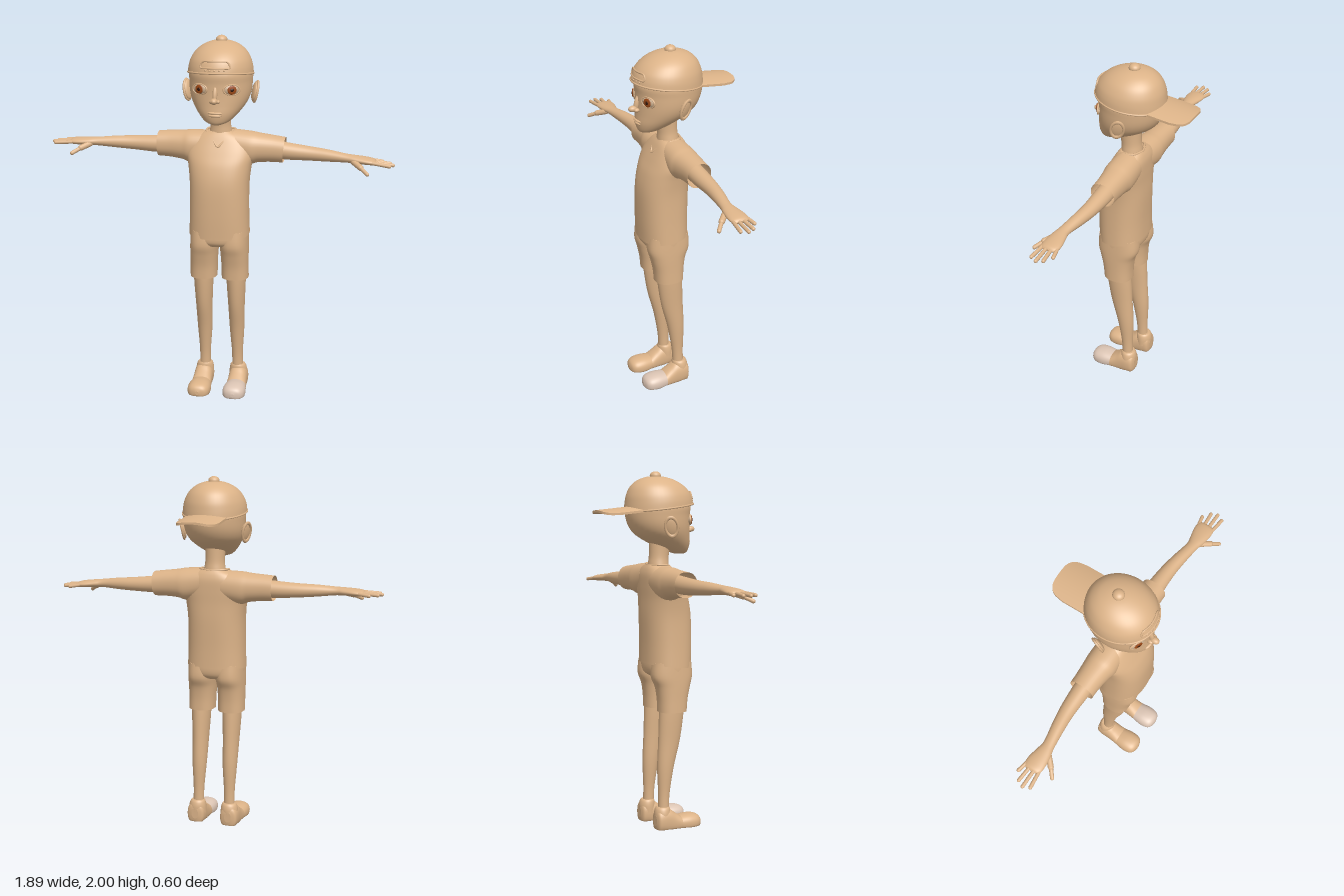
import * as THREE from 'three';

const mat = (name, color) => new THREE.MeshStandardMaterial({ name, color, side: THREE.DoubleSide });

// Smooth value of component k at position f along the sections (Catmull-Rom)
function spline(sec, k, f) {
  const n = sec.length - 1, i = Math.min(Math.floor(f), n - 1), u = f - i;
  const at = (j) => sec[Math.max(0, Math.min(n, j))][k];
  const a = at(i), b = at(i + 1), m = (b - at(i - 1)) / 2, q = (at(i + 2) - a) / 2;
  const u2 = u * u, u3 = u2 * u;
  return (2 * u3 - 3 * u2 + 1) * a + (u3 - 2 * u2 + u) * m + (3 * u2 - 2 * u3) * b + (u3 - u2) * q;
}

// Loft of superellipse sections [position along axis, centre 1, centre 2, radius 1, radius 2]
function loft(axis, sec, { exp = 2, caps = [true, true], warp = null, seg = 36, sub = 5 } = {}) {
  const order = { x: [0, 1, 2], y: [1, 0, 2], z: [2, 0, 1] }[axis];
  const flip = (axis !== 'y') !== (sec[sec.length - 1][0] < sec[0][0]);
  const rows = (sec.length - 1) * sub, pos = [], idx = [];
  const put = (t, a, b) => {
    const p = [];
    p[order[0]] = t; p[order[1]] = a; p[order[2]] = b;
    const v = new THREE.Vector3(...p);
    if (warp) warp(v);
    pos.push(v.x, v.y, v.z);
  };
  const tri = (a, b, c) => (flip ? idx.push(a, c, b) : idx.push(a, b, c));
  const ring = (i) => {
    const [t, c1, c2, r1, r2] = [0, 1, 2, 3, 4].map((k) => spline(sec, k, i / sub));
    for (let j = 0; j < seg; j++) {
      const a = (j / seg) * Math.PI * 2, c = Math.cos(a), s = Math.sin(a);
      put(t, c1 + r1 * Math.sign(c) * Math.abs(c) ** (2 / exp), c2 + r2 * Math.sign(s) * Math.abs(s) ** (2 / exp));
    }
    return [t, c1, c2];
  };
  for (let i = 0; i <= rows; i++) ring(i);
  for (let i = 0; i < rows; i++) for (let j = 0; j < seg; j++) {
    const a = i * seg + j, b = i * seg + (j + 1) % seg;
    tri(a, a + seg, b);
    tri(b, a + seg, b + seg);
  }
  [0, rows].forEach((row, e) => {
    if (!caps[e]) return;
    const base = pos.length / 3;
    put(...ring(row));
    for (let j = 0; j < seg; j++) {
      const a = base + j, b = base + (j + 1) % seg;
      e ? tri(base + seg, b, a) : tri(base + seg, a, b);
    }
  });
  const g = new THREE.BufferGeometry();
  g.setAttribute('position', new THREE.Float32BufferAttribute(pos, 3));
  g.setIndex(idx);
  g.computeVertexNormals();
  return g;
}

export function createModel() {
  const model = new THREE.Group();
  const tan = mat('tan', 0xdcb388), pale = mat('paleShoe', 0xdcc5b4);
  const brown = mat('irisBrown', 0x9c4a18), dark = mat('pupilDark', 0x35190c), white = mat('eyeBeige', 0xcdb090);
  const add = (name, geo, material = tan, parent = model) => {
    const m = new THREE.Mesh(geo, material);
    m.name = name;
    parent.add(m);
    return m;
  };
  const ball = (name, p, r, material = tan, parent = model) => {
    const m = add(name, new THREE.SphereGeometry(1, 24, 16), material, parent);
    m.position.set(...p);
    m.scale.set(...r);
    return m;
  };
  const tube = (name, pts, r, closed, parent = model, tension = 0.5) => add(name, new THREE.TubeGeometry(
    new THREE.CatmullRomCurve3(pts.map((p) => new THREE.Vector3(...p)), closed, 'catmullrom', tension), 64, r, 8, closed), tan, parent);

  // Head and neck
  add('head', loft('y', [
    [1.545, 0, 0.2, 0.025, 0.03], [1.56, 0, 0.182, 0.065, 0.06], [1.6, 0, 0.14, 0.108, 0.11], [1.65, 0, 0.095, 0.145, 0.152],
    [1.7, 0, 0.073, 0.164, 0.172], [1.76, 0, 0.063, 0.17, 0.182], [1.82, 0, 0.063, 0.168, 0.182],
    [1.89, 0, 0.06, 0.13, 0.14], [1.94, 0, 0.06, 0.05, 0.05]]));
  add('neck', loft('y', [[1.42, 0, 0.065, 0.075, 0.065], [1.49, 0, 0.068, 0.06, 0.058], [1.54, 0, 0.072, 0.054, 0.056],
    [1.63, 0, 0.08, 0.058, 0.065]]));

  // Face
  ball('noseBridge', [0, 1.712, 0.245], [0.013, 0.045, 0.017]).rotation.x = -0.25;
  ball('noseTip', [0, 1.68, 0.27], [0.019, 0.017, 0.026]);
  for (const s of [-1, 1]) ball('nostril', [s * 0.016, 1.675, 0.255], [0.013, 0.011, 0.016]);
  ball('upperLip', [0, 1.613, 0.243], [0.042, 0.007, 0.016]);
  ball('lowerLip', [0, 1.598, 0.241], [0.036, 0.009, 0.016]);
  for (const s of [-1, 1]) {
    const eye = new THREE.Group();
    eye.name = 'eye';
    eye.position.set(s * 0.083, 1.735, 0.217);
    eye.rotation.y = s * 0.42;
    model.add(eye);
    ball('eyeball', [0, 0, 0], [0.044, 0.027, 0.015], white, eye);
    ball('iris', [0, 0, 0.012], [0.024, 0.024, 0.005], brown, eye);
    ball('pupil', [0, 0, 0.015], [0.01, 0.01, 0.004], dark, eye);
    const lid = add('eyelid', new THREE.TorusGeometry(0.044, 0.005, 8, 32), tan, eye);
    lid.scale.y = 0.64;
    lid.position.z = 0.004;

    // Ear with raised rim
    const ear = new THREE.Group();
    ear.name = 'ear';
    ear.position.set(s * 0.18, 1.703, 0.055);
    ear.rotation.set(-0.2, s * 0.4, -s * 0.15);
    model.add(ear);
    ball('earShell', [0, 0, 0], [0.013, 0.054, 0.036], tan, ear);
    const rim = add('earRim', new THREE.TorusGeometry(0.034, 0.007, 8, 28), tan, ear);
    rim.rotation.y = Math.PI / 2;
    rim.scale.y = 1.55;
    rim.position.x = s * 0.008;
  }

  // Backward cap: dome slanting down to the rear
  const slant = (v) => { v.y += 0.11 * (v.z - 0.07) * THREE.MathUtils.clamp((1.95 - v.y) / 0.15, 0, 1); };
  add('capDome', loft('y', [
    [1.8, 0, 0.07, 0.176, 0.196], [1.84, 0, 0.068, 0.172, 0.19], [1.88, 0, 0.064, 0.16, 0.178], [1.92, 0, 0.058, 0.135, 0.15],
    [1.95, 0, 0.054, 0.097, 0.108], [1.968, 0, 0.05, 0.052, 0.055], [1.974, 0, 0.05, 0.005, 0.005]],
  { caps: [false, true], warp: slant, seg: 48 }));
  const band = [];
  for (let i = 0; i < 24; i++) {
    const a = (i / 24) * Math.PI * 2, v = new THREE.Vector3(0.175 * Math.cos(a), 1.803, 0.07 + 0.195 * Math.sin(a));
    slant(v);
    band.push(v.toArray());
  }
  tube('capBand', band, 0.005, true);
  ball('capButton', [0, 1.975, 0.05], [0.031, 0.024, 0.031]);

  // Arched brim with rounded corners
  const brim = new THREE.BoxGeometry(2, 0.012, 1, 28, 1, 12), bp = brim.attributes.position;
  for (let i = 0; i < bp.count; i++) {
    const u = bp.getX(i), w = 0.5 - bp.getZ(i);
    const z = THREE.MathUtils.lerp(-0.03, -0.305 + 0.095 * (1 - Math.sqrt(1 - Math.min(1, u ** 4))), w);
    bp.setXYZ(i, u * 0.115, bp.getY(i) + 1.803 + 0.09 * (z + 0.11) - 0.02 * u * u, z);
  }
  brim.computeVertexNormals();
  add('capBrim', brim);

  // Strap opening and snaps on the cap's front
  const capFront = (x, y) => [x, y, 0.068 + (0.19 - 0.3 * (y - 1.85)) * Math.sqrt(1 - (x / 0.17) ** 2)];
  tube('strapOpening', [[-0.075, 1.85], [-0.075, 1.868], [-0.06, 1.884], [-0.03, 1.885], [0, 1.885], [0.03, 1.885], [0.06, 1.884],
    [0.075, 1.868], [0.075, 1.85], [0.04, 1.85], [0, 1.85], [-0.04, 1.85]].map((p) => capFront(...p)), 0.005, true);
  for (let i = -2; i <= 2; i++) ball('strapSnap', capFront(i * 0.025, 1.839), [0.005, 0.005, 0.005]);

  // Shirt body, with the hem higher at the back
  add('shirtBody', loft('y', [
    [0.925, 0, 0.11, 0.166, 0.13], [1.05, 0, 0.112, 0.162, 0.132], [1.2, 0, 0.108, 0.162, 0.132], [1.3, 0, 0.098, 0.172, 0.121],
    [1.37, 0, 0.082, 0.185, 0.106], [1.43, 0, 0.067, 0.168, 0.09], [1.465, 0, 0.062, 0.125, 0.076], [1.487, 0, 0.06, 0.075, 0.062]],
  { exp: 2.4, caps: [false, true], seg: 48,
    warp: (v) => { v.y -= 0.11 * (v.z - 0.11) * THREE.MathUtils.clamp((1.1 - v.y) / 0.175, 0, 1); } }));
  tube('vNeckCollar', [[0, 1.413, 0.165], [0.035, 1.45, 0.137], [0.075, 1.485, 0.09], [0.07, 1.49, 0.03], [0, 1.487, 0.003],
    [-0.07, 1.49, 0.03], [-0.075, 1.485, 0.09], [-0.035, 1.45, 0.137]], 0.006, true, model, 0.3);

  // Sleeves, arms and hands; the left arm hangs slightly lower
  for (const s of [-1, 1]) {
    const arm = new THREE.Group();
    arm.name = s > 0 ? 'leftArm' : 'rightArm';
    const pivot = new THREE.Vector3(s * 0.2, 1.4, 0);
    arm.rotation.z = s > 0 ? -0.08 : 0;
    arm.position.copy(pivot).sub(pivot.clone().applyEuler(arm.rotation));
    model.add(arm);
    const along = (sec) => sec.map(([x, ...rest]) => [s * x, ...rest]);
    add('sleeve', loft('x', along([[0.06, 1.4, 0.06, 0.083, 0.082], [0.16, 1.392, 0.06, 0.09, 0.085], [0.21, 1.397, 0.057, 0.08, 0.078],
      [0.28, 1.4, 0.055, 0.073, 0.071], [0.347, 1.4, 0.055, 0.069, 0.069]]), { exp: 2.2, caps: [true, false] }), tan, arm);
    add('forearm', loft('x', along([[0.2, 1.4, 0.055, 0.05, 0.05], [0.35, 1.395, 0.054, 0.047, 0.048], [0.48, 1.397, 0.057, 0.039, 0.041],
      [0.58, 1.4, 0.068, 0.033, 0.036], [0.68, 1.402, 0.083, 0.024, 0.032], [0.73, 1.402, 0.085, 0.022, 0.041],
      [0.79, 1.401, 0.083, 0.02, 0.051], [0.83, 1.4, 0.083, 0.016, 0.047], [0.845, 1.4, 0.083, 0.005, 0.03]])), tan, arm);
    const finger = (name, a, b, r) => {
      const p = new THREE.Vector3(s * a[0], a[1], a[2]), q = new THREE.Vector3(s * b[0], b[1], b[2]), d = q.clone().sub(p);
      const f = add(name, new THREE.CapsuleGeometry(r, d.length(), 6, 12), tan, arm);
      f.position.copy(p).add(q).multiplyScalar(0.5);
      f.quaternion.setFromUnitVectors(new THREE.Vector3(0, 1, 0), d.normalize());
    };
    [[0.044, 0.876, 0.03], [0.07, 0.918, 0.061], [0.096, 0.934, 0.095], [0.12, 0.917, 0.131]].forEach(([z, tx, tz]) => {
      finger('finger', [0.81, 1.4, z], [tx, 1.395, tz], 0.01);
    });
    finger('thumb', [0.725, 1.392, 0.11], [0.768, 1.375, 0.152], 0.016);
    finger('thumbTip', [0.765, 1.376, 0.15], [0.808, 1.352, 0.187], 0.011);
  }

  // Shorts
  add('shortsSeat', loft('y', [[0.865, 0, 0.115, 0.13, 0.095], [0.885, 0, 0.112, 0.155, 0.115], [0.92, 0, 0.11, 0.159, 0.122],
    [0.98, 0, 0.11, 0.155, 0.12]], { exp: 2.4 }));
  for (const s of [-1, 1]) {
    const x = (v) => s * v;
    add('shortsLeg', loft('y', [[0.67, x(0.088), 0.11, 0.074, 0.081], [0.74, x(0.087), 0.112, 0.074, 0.086], [0.81, x(0.085), 0.114, 0.076, 0.1],
      [0.87, x(0.082), 0.11, 0.078, 0.12], [0.95, x(0.08), 0.11, 0.077, 0.115]], { exp: 2.4, caps: [false, true] }));

    // Bare leg
    add('leg', loft('y', [[0.1, x(0.094), 0.055, 0.031, 0.031], [0.2, x(0.093), 0.058, 0.031, 0.033], [0.35, x(0.092), 0.068, 0.041, 0.048],
      [0.5, x(0.092), 0.09, 0.046, 0.064], [0.64, x(0.092), 0.103, 0.053, 0.072], [0.75, x(0.092), 0.11, 0.055, 0.073]]));

    // Shoe: heel and toe, flattened underneath
    const shoe = [[0, 0.05, 0.02, 0.03], [0.01, 0.045, 0.046, 0.062], [0.04, 0.045, 0.053, 0.073], [0.08, 0.04, 0.053, 0.074],
      [0.115, 0.03, 0.054, 0.06], [0.15, 0.022, 0.057, 0.044], [0.2, 0.02, 0.064, 0.051], [0.245, 0.02, 0.06, 0.046],
      [0.27, 0.02, 0.042, 0.032], [0.28, 0.02, 0.01, 0.01]].map(([z, cy, rx, ry]) => [z, x(0.1), cy, rx, ry]);
    const flat = { exp: 2.3, warp: (v) => { v.y = Math.max(v.y, 0); } };
    add('shoeHeel', loft('z', shoe.slice(0, 6), flat));
    add('shoeToe', loft('z', shoe.slice(5), flat), s > 0 ? pale : tan);
    add('shoeCollar', loft('y', [[0.05, x(0.098), 0.046, 0.053, 0.046], [0.09, x(0.097), 0.046, 0.05, 0.046],
      [0.115, x(0.096), 0.048, 0.044, 0.042], [0.126, x(0.095), 0.05, 0.036, 0.036]]));
  }
  return model;
}
